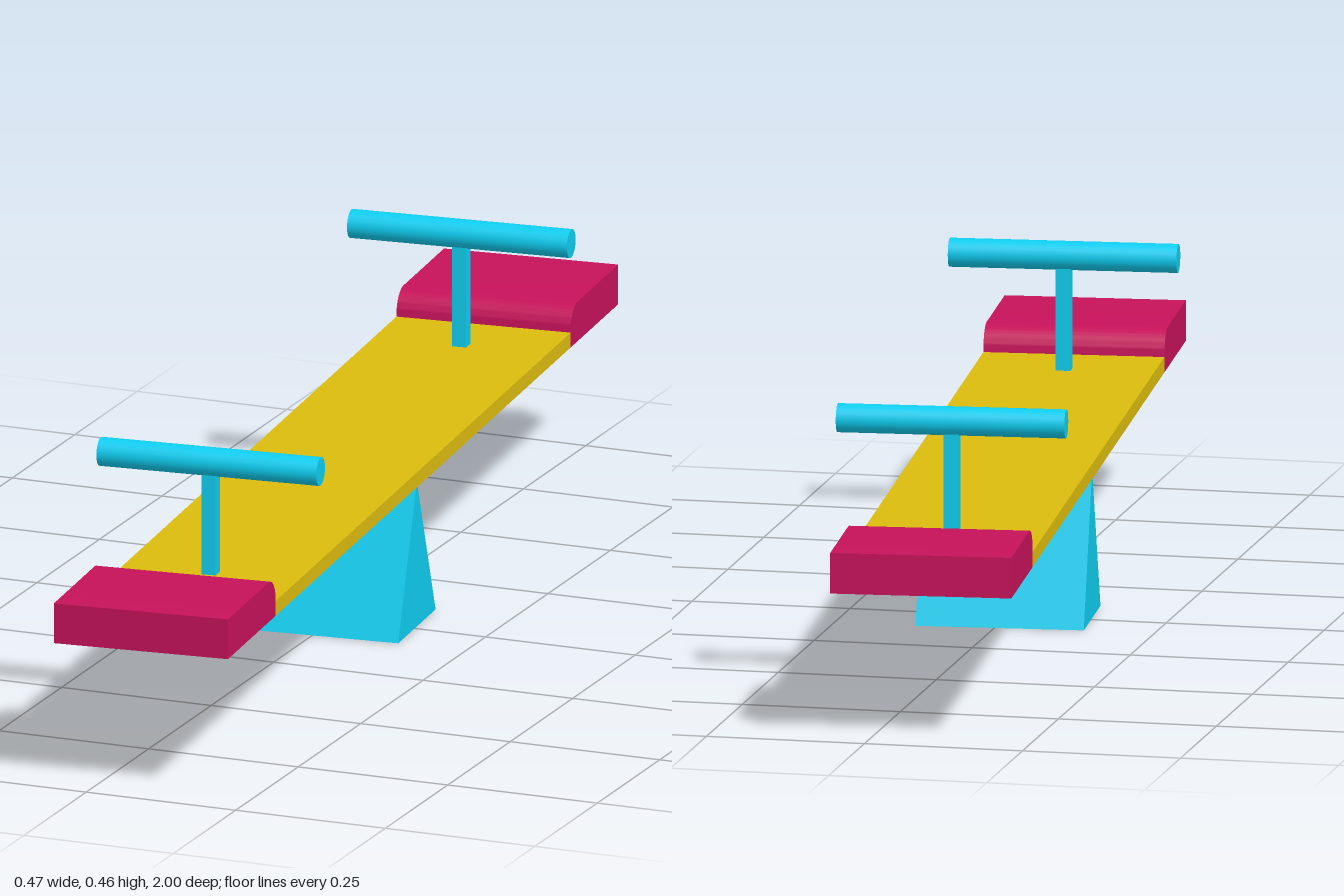
import * as THREE from 'three';
import { toCreasedNormals } from 'three/addons/utils/BufferGeometryUtils.js';

const WIDTH = 0.282, BOTTOM = 0.234, BOARD_TOP = 0.258, SEAT_TOP = 0.298;
const SEAT_IN = 0.75, SEAT_OUT = 0.992, HANDLE_Z = 0.637;

const blue = new THREE.MeshStandardMaterial({ color: 0x0fcdf0 });
const pink = new THREE.MeshStandardMaterial({ color: 0xc6125a });
const yellow = new THREE.MeshStandardMaterial({ color: 0xdcbc0e });

function mesh(name, geometry, material) {
  const m = new THREE.Mesh(geometry, material);
  m.name = name;
  return m;
}

// Extrudes a (z, y) profile across x, centred on x = 0
function extrudeAcross(shape, width) {
  const g = new THREE.ExtrudeGeometry(shape, { depth: width, bevelEnabled: false, curveSegments: 8 });
  g.rotateY(-Math.PI / 2).translate(width / 2, 0, 0);
  return toCreasedNormals(g, Math.PI / 6);
}

// Seat, post and handle bar for the +z end
function createEnd(name) {
  const end = new THREE.Group();
  end.name = name;

  // Seat block with a rounded inner top edge
  const r = 0.036;
  const profile = new THREE.Shape();
  profile.moveTo(SEAT_IN, BOTTOM);
  profile.lineTo(SEAT_OUT, BOTTOM);
  profile.lineTo(SEAT_OUT, SEAT_TOP);
  profile.lineTo(SEAT_IN + r, SEAT_TOP);
  profile.absarc(SEAT_IN + r, SEAT_TOP - r, r, Math.PI / 2, Math.PI, false);
  end.add(mesh('seat', extrudeAcross(profile, WIDTH), pink));

  // Square post
  const post = mesh('handlePost', new THREE.BoxGeometry(0.023, 0.18, 0.023), blue);
  post.position.set(0, 0.34, HANDLE_Z);
  end.add(post);

  // Round bar
  const bar = mesh('handleBar', new THREE.CylinderGeometry(0.0225, 0.0225, 0.356, 24), blue);
  bar.rotation.z = Math.PI / 2;
  bar.position.set(0, 0.4375, HANDLE_Z);
  end.add(bar);
  return end;
}

export function createModel() {
  const seesaw = new THREE.Group();
  seesaw.name = 'seesaw';

  // Plank
  const board = mesh('board', new THREE.BoxGeometry(WIDTH, BOARD_TOP - BOTTOM, SEAT_IN * 2), yellow);
  board.position.y = (BOARD_TOP + BOTTOM) / 2;
  seesaw.add(board);

  // Triangular pivot
  const triangle = new THREE.Shape();
  triangle.moveTo(-0.095, 0);
  triangle.lineTo(0.095, 0);
  triangle.lineTo(0, BOTTOM);
  seesaw.add(mesh('pivot', extrudeAcross(triangle, 0.262), blue));

  // Two matching ends
  const back = createEnd('backEnd');
  back.rotation.y = Math.PI;
  seesaw.add(createEnd('frontEnd'), back);

  // The whole seesaw stands slightly turned
  seesaw.rotation.y = THREE.MathUtils.degToRad(5);
  const model = new THREE.Group();
  model.name = 'playgroundSeesaw';
  model.add(seesaw);
  return model;
}
